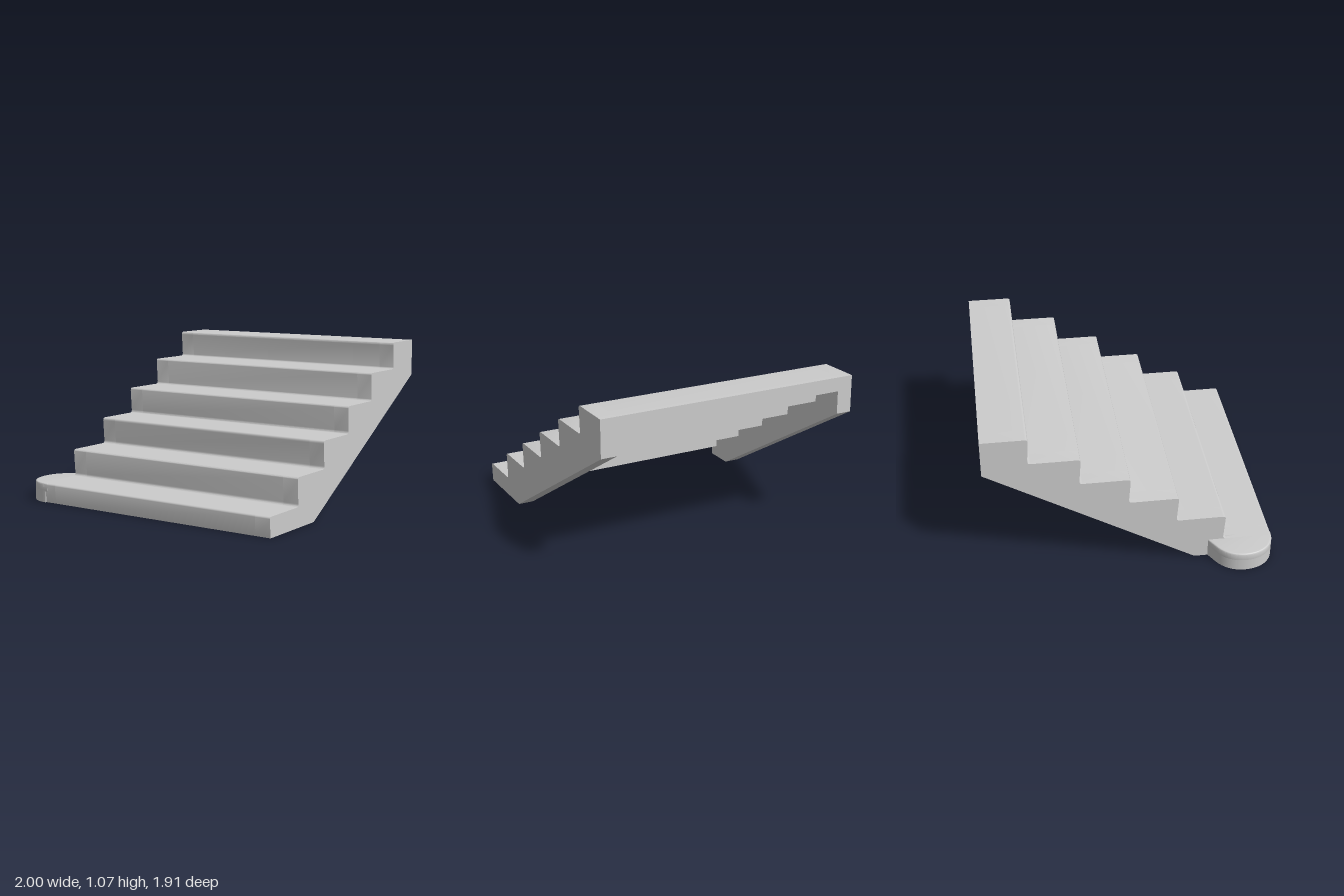
import * as THREE from 'three';
import { toCreasedNormals } from 'three/addons/utils/BufferGeometryUtils.js';

const X0 = -0.82, X1 = 1, WALL = 0.107, BACK = -0.955;
const TOPS = [0.132, 0.32, 0.505, 0.69, 0.88, 1.065];  // tread heights
const NOSES = [0.955, 0.633, 0.312, -0.008, -0.328, -0.653]; // nosing z positions
const LEAN = 0.011, R = 0.02, SKIN = 0.05;
const CUT_Z = 0.43, BACK_Y = 0.815;

const material = new THREE.MeshStandardMaterial({ color: 0xcccccc });

function addMesh(group, name, geometry) {
  const mesh = new THREE.Mesh(toCreasedNormals(geometry, 0.6), material);
  mesh.name = name;
  group.add(mesh);
}

// Extrude a (z, y) side profile between two x positions
function extrudeAcross(shape, xa, xb) {
  const g = new THREE.ExtrudeGeometry(shape, { depth: xb - xa, bevelEnabled: false, curveSegments: 5 });
  return g.rotateY(-Math.PI / 2).translate(xb, 0, 0);
}

// Extrude an (x, -z) plan between two heights
function extrudeUp(shape, ya, yb, bevel = 0) {
  const g = new THREE.ExtrudeGeometry(shape, {
    depth: yb - ya - bevel, bevelEnabled: bevel > 0, bevelSize: bevel, bevelThickness: bevel,
    bevelOffset: -bevel, bevelSegments: 3, curveSegments: 24,
  });
  return g.rotateX(-Math.PI / 2).translate(0, ya, 0);
}

// Stepped upper line with rounded nosings and coved riser feet
function steppedOutline() {
  const s = new THREE.Shape();
  s.moveTo(NOSES[0] - LEAN, 0);
  TOPS.forEach((top, i) => {
    const nose = NOSES[i];
    s.lineTo(nose - 0.001, top - R);
    s.quadraticCurveTo(nose, top, nose - R, top);
    if (i < TOPS.length - 1) {
      const foot = NOSES[i + 1] - LEAN;
      s.lineTo(foot + R, top);
      s.quadraticCurveTo(foot, top, foot, top + R);
    }
  });
  s.lineTo(BACK, TOPS[TOPS.length - 1]);
  return s;
}

// Solid side wall; the open one lets the first step's hollow reach the rounded end
function sideWall(open) {
  const s = steppedOutline();
  s.lineTo(BACK, BACK_Y);
  s.lineTo(CUT_Z, 0);
  if (open) {
    s.lineTo(0.64, 0);
    s.lineTo(0.64, TOPS[0] - SKIN);
    s.lineTo(0.86, TOPS[0] - SKIN);
    s.lineTo(0.86, 0);
  }
  return s;
}

// Treads and risers as one stepped skin, hollow underneath
function stepSkin() {
  const s = steppedOutline();
  for (let i = TOPS.length - 1; i >= 0; i--) {
    const under = TOPS[i] - (i === TOPS.length - 1 ? 0.095 : SKIN);
    const back = i === TOPS.length - 1 ? BACK : NOSES[i + 1] - LEAN - SKIN;
    const front = i === 0 ? 0.86 : NOSES[i] - LEAN - SKIN;
    s.lineTo(back, under);
    s.lineTo(front, under);
  }
  s.lineTo(0.86, 0);
  return s;
}

// Plan of the rounded end of the first step
function roundedEnd() {
  const s = new THREE.Shape();
  s.moveTo(X0, -0.52);
  s.lineTo(-0.9, -0.565);
  s.bezierCurveTo(-0.965, -0.605, -1, -0.665, -1, -0.745);
  s.bezierCurveTo(-1, -0.865, -0.915, -0.954, -0.8, -0.954);
  s.lineTo(X0 + 0.04, -0.954);
  s.lineTo(X0 + 0.04, -0.52);
  return s;
}

// Rim under the rounded end, open toward the hollow of the first step
function roundedRim() {
  const s = new THREE.Shape();
  s.moveTo(X0, -0.52);
  s.lineTo(-0.9, -0.565);
  s.bezierCurveTo(-0.965, -0.605, -1, -0.665, -1, -0.745);
  s.bezierCurveTo(-1, -0.865, -0.915, -0.954, -0.8, -0.954);
  s.lineTo(-0.8, -0.86);
  s.bezierCurveTo(-0.865, -0.86, -0.905, -0.81, -0.905, -0.745);
  s.bezierCurveTo(-0.905, -0.69, -0.88, -0.65, -0.8, -0.64);
  s.lineTo(-0.8, -0.52);
  return s;
}

export function createModel() {
  const group = new THREE.Group();
  group.name = 'staircase';
  addMesh(group, 'leftSideWall', extrudeAcross(sideWall(false), X1 - WALL, X1));
  addMesh(group, 'rightSideWall', extrudeAcross(sideWall(true), X0, X0 + WALL));
  addMesh(group, 'steps', extrudeAcross(stepSkin(), X0 + WALL, X1 - WALL));
  addMesh(group, 'roundedStepEnd', extrudeUp(roundedEnd(), TOPS[0] - SKIN, TOPS[0], 0.01));
  addMesh(group, 'roundedStepRim', extrudeUp(roundedRim(), 0, TOPS[0] - SKIN));
  return group;
}
